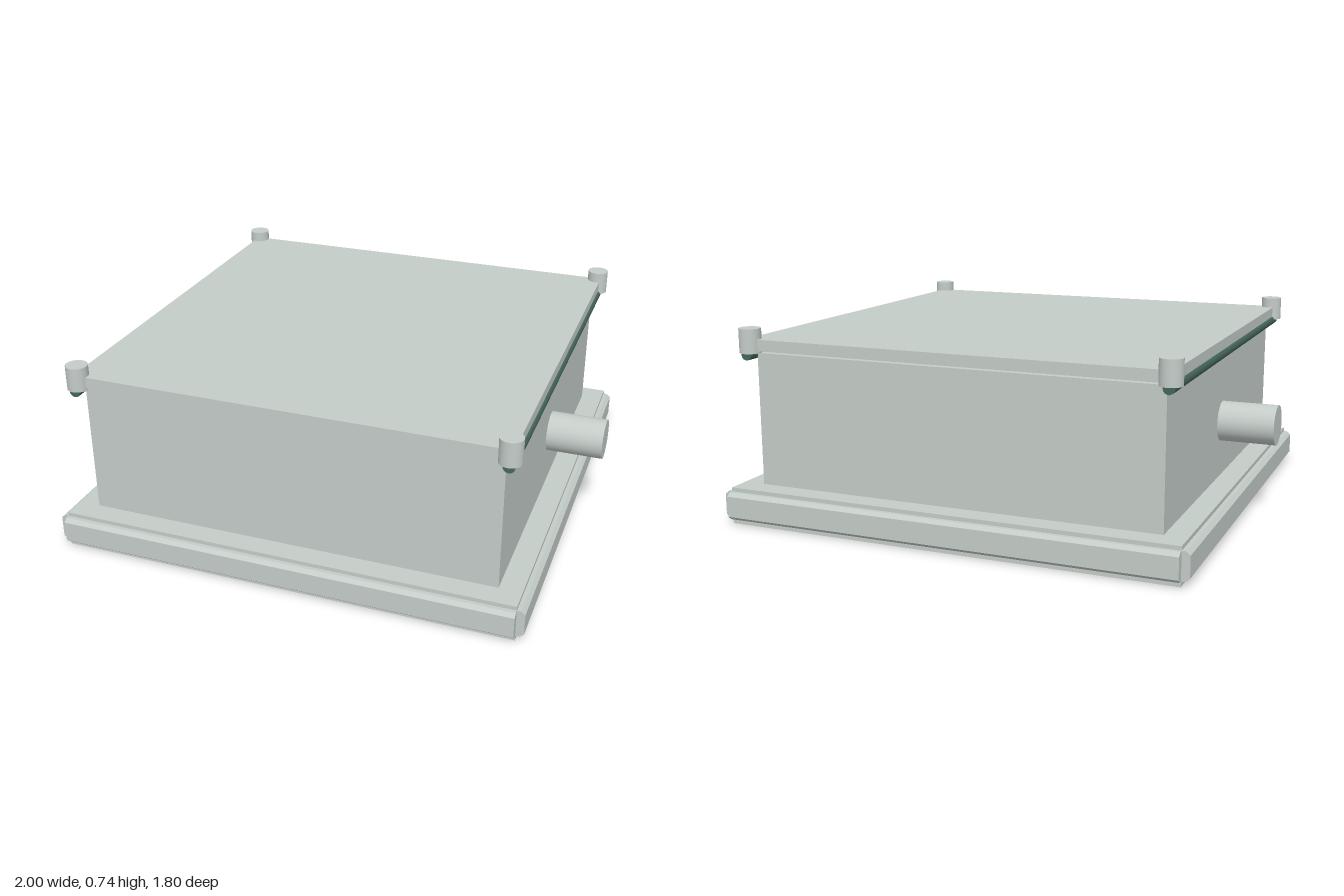
import * as THREE from 'three';

export function createModel() {
  const model = new THREE.Group();
  const casing = new THREE.MeshStandardMaterial({ color: 0xc4ccc8 });
  casing.name = 'pale grey casing';
  const seal = new THREE.MeshStandardMaterial({ color: 0x45665c });
  seal.name = 'dark green seal';

  const add = (name, geometry, material, x, y, z) => {
    const mesh = new THREE.Mesh(geometry, material);
    mesh.name = name;
    mesh.position.set(x, y, z);
    model.add(mesh);
    return mesh;
  };
  // Box between two heights, centred on the vertical axis
  const slab = (name, w, d, y0, y1) =>
    add(name, new THREE.BoxGeometry(w, y1 - y0, d), casing, 0, (y0 + y1) / 2, 0);

  slab('base', 1.74, 1.74, 0, 0.14);
  slab('body', 1.57, 1.57, 0.14, 0.645);
  slab('lid', 1.63, 1.63, 0.657, 0.7);

  // Bevelled trim bars around the base, with open notches at the corners
  const profile = new THREE.Shape([
    [0.86, 0.02], [0.885, 0.02], [0.9, 0.033], [0.9, 0.112], [0.885, 0.125], [0.86, 0.125],
  ].map(([x, y]) => new THREE.Vector2(x, y)));
  const trim = new THREE.ExtrudeGeometry(profile, { depth: 1.74, bevelEnabled: false });
  trim.translate(0, 0, -0.87);
  for (let i = 0; i < 4; i++) add('baseTrim', trim, casing, 0, 0, 0).rotation.y = i * Math.PI / 2;

  const post = new THREE.CylinderGeometry(0.041, 0.041, 0.092, 32);
  const rod = new THREE.CylinderGeometry(0.021, 0.021, 1.66, 16).rotateX(Math.PI / 2);
  const pipe = new THREE.CylinderGeometry(0.077, 0.077, 0.24, 40).rotateZ(Math.PI / 2);
  for (const side of [-1, 1]) {
    // Pipe stub and seal rod on each side
    add('pipeStub', pipe, casing, side * 0.88, 0.357, 0);
    add('sealRod', rod, seal, side * 0.803, 0.643, 0);
    // Corner posts
    for (const end of [-1, 1]) add('cornerPost', post, casing, side * 0.802, 0.694, end * 0.802);
  }
  return model;
}
